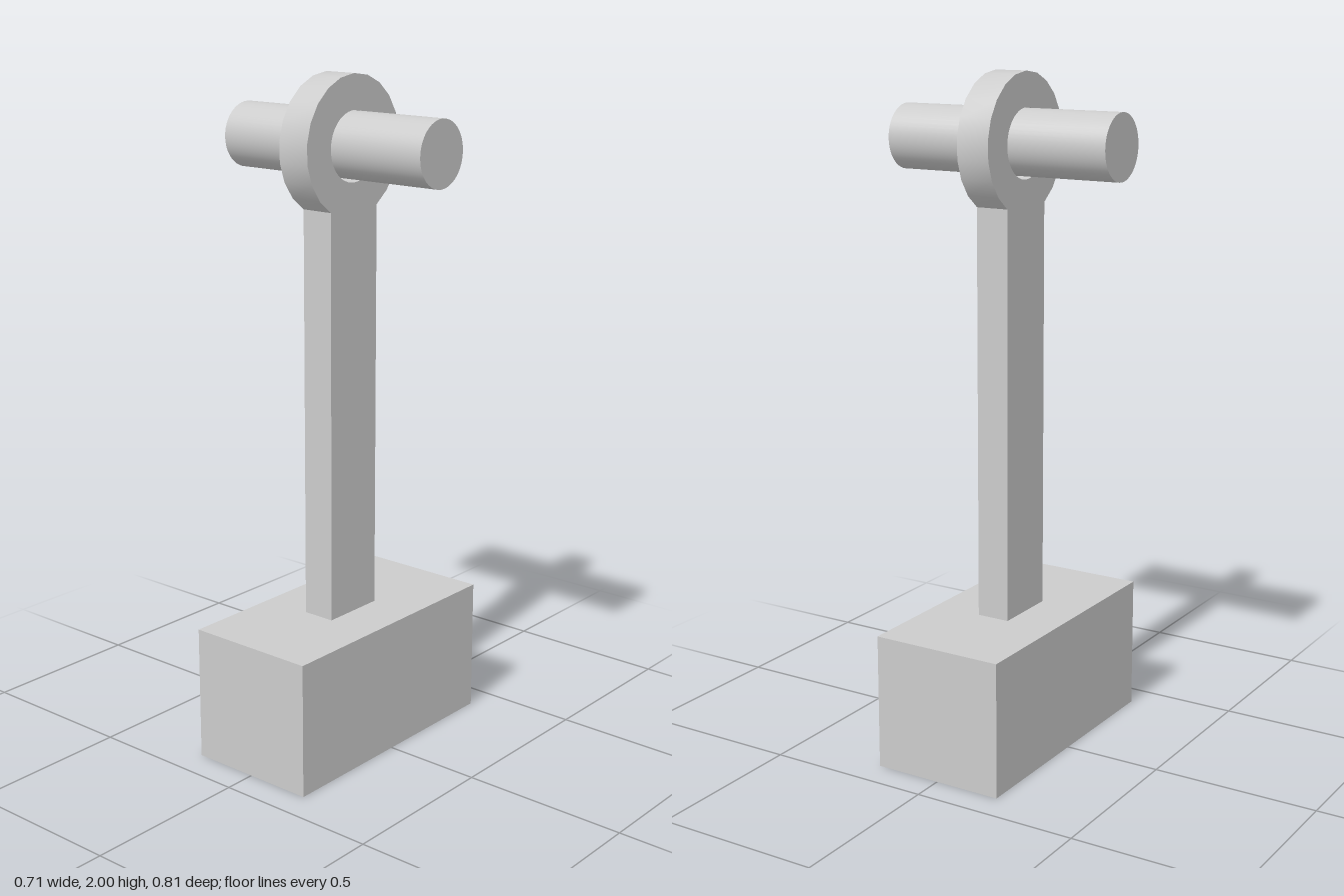
import * as THREE from 'three';
import { toCreasedNormals } from 'three/addons/utils/BufferGeometryUtils.js';

export function createModel() {
  const group = new THREE.Group();
  const material = new THREE.MeshStandardMaterial({ color: 0xcccccc });
  const add = (name, geometry, y) => {
    const mesh = new THREE.Mesh(geometry, material);
    mesh.name = name;
    mesh.position.y = y;
    group.add(mesh);
  };

  const baseTop = 0.405, eyeY = 1.798, eyeR = 0.202, thickness = 0.101;

  // Heavy rectangular foot
  add('base', new THREE.BoxGeometry(0.405, baseTop, 0.81), baseTop / 2);

  // Flat upright and its round eye, cut as one plate; the eye is the origin
  const plate = new THREE.Shape();
  const half = eyeR / 2, foot = baseTop - eyeY;
  plate.moveTo(-half, foot);
  plate.lineTo(half, foot);
  const start = -Math.PI / 3, steps = 18;
  for (let i = 0; i <= steps; i++) {
    const a = start + (i / steps) * (Math.PI * 5 / 3);
    plate.lineTo(Math.cos(a) * eyeR, Math.sin(a) * eyeR);
  }
  plate.closePath();

  // Bore with a narrow clearance around the pin
  const bore = new THREE.Path();
  bore.absarc(0, 0, 0.101, 0, Math.PI * 2, true);
  plate.holes.push(bore);

  const arm = new THREE.ExtrudeGeometry(plate, { depth: thickness, bevelEnabled: false, curveSegments: 24 });
  arm.translate(0, 0, -thickness / 2).rotateY(Math.PI / 2);
  add('arm', toCreasedNormals(arm, 0.5), eyeY);

  // Cross pin through the eye
  const pin = new THREE.CylinderGeometry(0.0955, 0.0955, 0.712, 48);
  pin.rotateZ(Math.PI / 2);
  add('pin', pin, eyeY + 0.004);

  return group;
}
